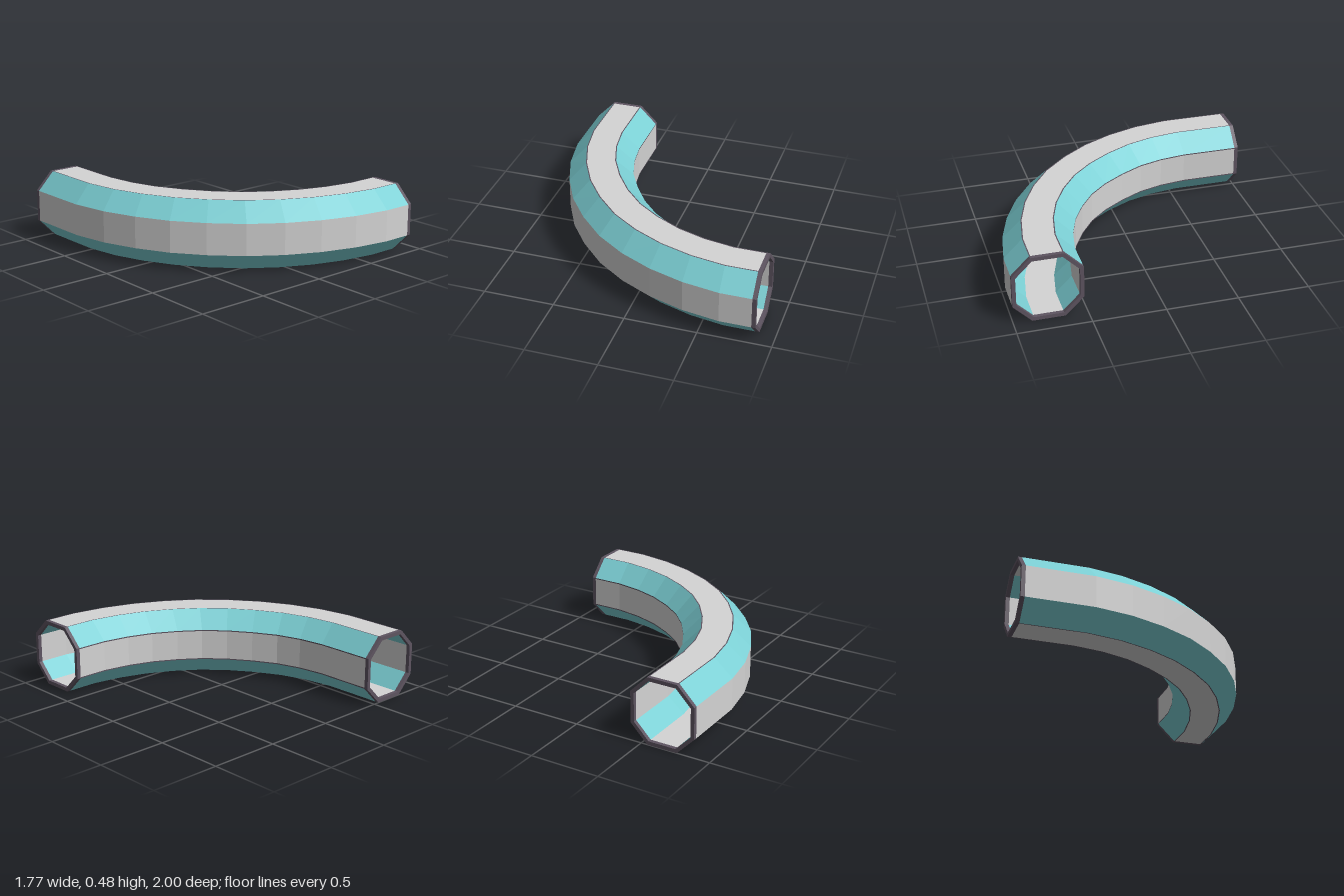
import * as THREE from 'three';

// Stations along the bend: [outer x, outer z, inner x, inner z]
const stations = [
  [-0.887, -1, -0.42, -1], [-0.887, -0.973, -0.42, -0.973],
  [-0.887, -0.505, -0.42, -0.575], [-0.842, -0.243, -0.395, -0.388],
  [-0.757, 0, -0.343, -0.215], [-0.64, 0.23, -0.255, -0.05],
  [-0.488, 0.43, -0.15, 0.105], [-0.302, 0.618, -0.027, 0.236],
  [-0.09, 0.766, 0.117, 0.341], [0.139, 0.878, 0.28, 0.43],
  [0.386, 0.957, 0.452, 0.489], [0.643, 1, 0.643, 0.524],
  [0.86, 1, 0.86, 0.524], [0.887, 1, 0.887, 0.524],
];

// Octagon section, u runs 0 (outside of bend) to 1 (inside), v is height
function octagon(inset) {
  const u0 = inset / 0.472, k = inset * 0.414;
  const uc = 0.266 + k / 0.472, lo = 0.127 + k, hi = 0.35 - k, top = 0.476 - inset;
  return [[u0, lo], [u0, hi], [uc, top], [1 - uc, top],
    [1 - u0, hi], [1 - u0, lo], [1 - uc, inset], [uc, inset]];
}

const place = (s, [u, v]) => [s[0] + (s[2] - s[0]) * u, v, s[1] + (s[3] - s[1]) * u];
const mix = (a, b, t) => [a[0] + (b[0] - a[0]) * t, a[1] + (b[1] - a[1]) * t];

function quad(out, a, b, c, d, flip) {
  const corners = flip ? [a, d, c, a, c, b] : [a, b, c, a, c, d];
  corners.forEach((p) => out.push(...p));
}

// Strip swept between two section points over a range of stations
function sweep(out, p, q, from, to, outward) {
  for (let i = from; i < to; i++) {
    const s = stations[i], t = stations[i + 1];
    quad(out, place(s, p), place(s, q), place(t, q), place(t, p), outward);
  }
}

export function createModel() {
  const group = new THREE.Group();
  const material = (name, color) => {
    const m = new THREE.MeshStandardMaterial({ color });
    m.name = name;
    return m;
  };
  const grey = material('light grey', 0xd4d4d4);
  const teal = material('teal', 0x7cd0d5);
  const dark = material('dark trim', 0x5e5561);

  const add = (name, mat, positions) => {
    const g = new THREE.BufferGeometry();
    g.setAttribute('position', new THREE.Float32BufferAttribute(positions, 3));
    g.computeVertexNormals();
    const mesh = new THREE.Mesh(g, mat);
    mesh.name = name;
    group.add(mesh);
  };

  const outer = octagon(0), inner = octagon(0.026);
  const last = stations.length - 1;
  const flats = [], chamfers = [], liningFlats = [], liningChamfers = [], seams = [];
  const rims = [[], []];

  for (let j = 0; j < 8; j++) {
    const k = (j + 1) % 8;
    const [a, b, c, d] = [outer[j], outer[k], inner[j], inner[k]];
    const isFlat = j % 2 === 0;

    // Outer panels, the flat ones edged by narrow dark seams
    if (isFlat && j > 0) {
      const e = mix(a, b, 0.035), f = mix(a, b, 0.965);
      sweep(seams, a, e, 1, last - 1, true);
      sweep(flats, e, f, 1, last - 1, true);
      sweep(seams, f, b, 1, last - 1, true);
    } else {
      sweep(isFlat ? flats : chamfers, a, b, 1, last - 1, true);
    }

    // Inside lining
    sweep(isFlat ? liningFlats : liningChamfers, c, d, 1, last - 1, false);

    // End rims: outside band, inside lip and face
    [[0, 0, false], [last - 1, last, true]].forEach(([from, face, flip], r) => {
      sweep(rims[r], a, b, from, from + 1, true);
      sweep(rims[r], c, d, from, from + 1, false);
      const s = stations[face];
      quad(rims[r], place(s, a), place(s, b), place(s, d), place(s, c), flip);
    });
  }

  add('flatPanels', grey, flats);
  add('chamferPanels', teal, chamfers);
  add('liningFlatPanels', grey, liningFlats);
  add('liningChamferPanels', teal, liningChamfers);
  add('panelSeams', dark, seams);
  add('backRim', dark, rims[0]);
  add('sideRim', dark, rims[1]);
  return group;
}
